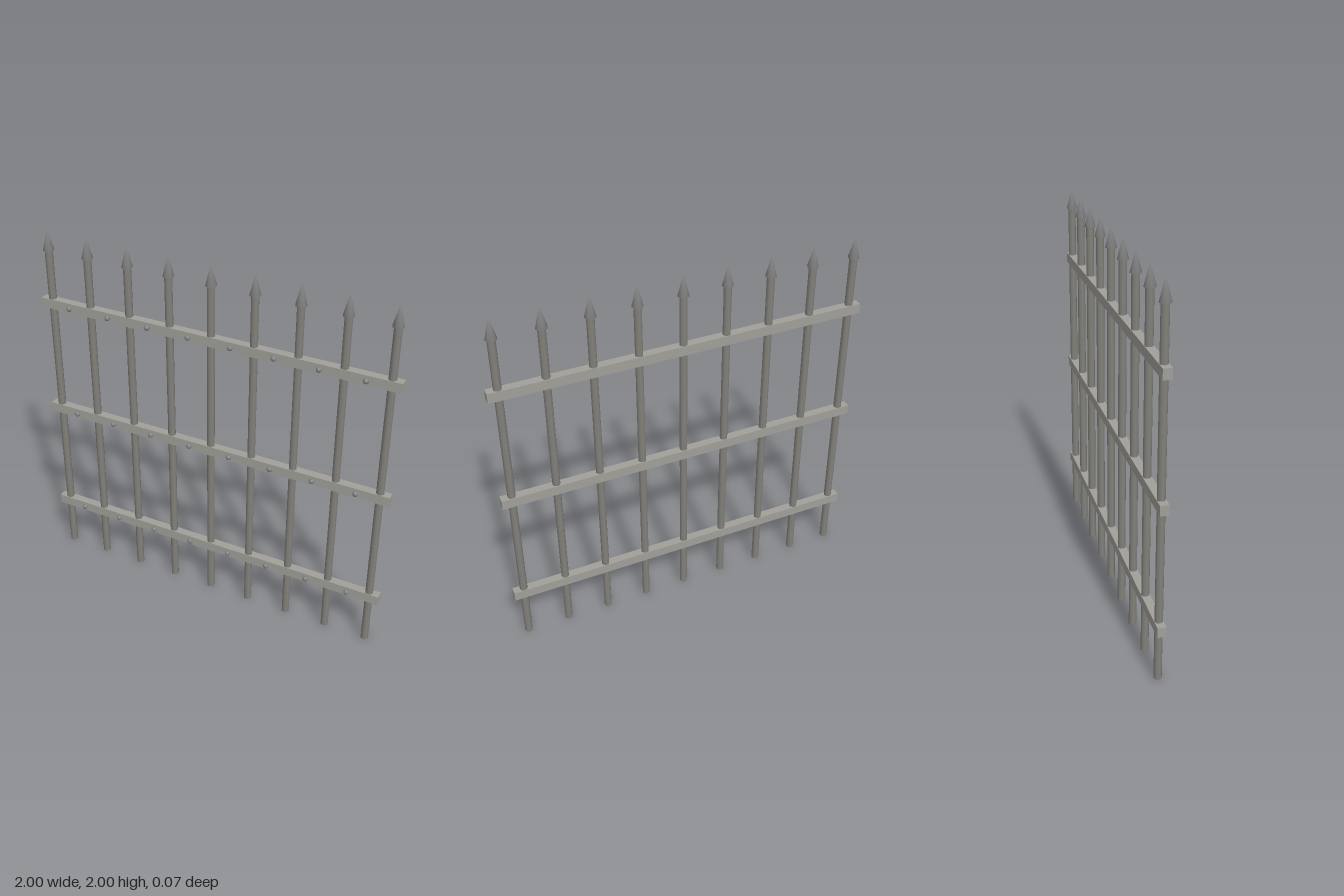
import * as THREE from 'three';
import { mergeVertices } from 'three/addons/utils/BufferGeometryUtils.js';

// Weld all corners so the shading rolls smoothly over tip and rim
function welded(geometry) {
  geometry.deleteAttribute('normal');
  geometry.deleteAttribute('uv');
  const result = mergeVertices(geometry, 1e-4);
  result.computeVertexNormals();
  return result;
}

export function createModel() {
  const group = new THREE.Group();
  const material = (name, color) => new THREE.MeshStandardMaterial({ name, color });
  const railIron = material('railIron', 0xa09f99);
  const barIron = material('barIron', 0x82817b);
  const darkIron = material('darkIron', 0x828282);

  const Z = -0.007; // plane of the bars
  const SPACING = 0.235;
  const BARS = 9;
  const BASE = 1.885; // where the spear heads begin

  const add = (name, geometry, mat, x, y, z) => {
    const mesh = new THREE.Mesh(geometry, mat);
    mesh.name = name;
    mesh.position.set(x, y, z);
    group.add(mesh);
  };

  const barGeo = new THREE.CylinderGeometry(0.021, 0.021, BASE, 8);
  const spearGeo = welded(new THREE.ConeGeometry(0.03, 2 - BASE, 8));
  const railGeo = new THREE.BoxGeometry(1.995, 0.053, 0.045);
  const rivetGeo = new THREE.SphereGeometry(0.015, 10, 8);

  // Upright bars with pointed heads
  for (let i = 0; i < BARS; i++) {
    const x = (i - (BARS - 1) / 2) * SPACING;
    add('bar', barGeo, barIron, x, BASE / 2, Z);
    add('spearHead', spearGeo, darkIron, x, (BASE + 2) / 2, Z);
  }

  // Cross rails, riveted on the front midway between bars
  for (const y of [0.296, 0.941, 1.588]) {
    add('rail', railGeo, railIron, 0, y, Z);
    for (let i = 0; i < BARS - 1; i++) {
      add('rivet', rivetGeo, darkIron, (i - (BARS - 2) / 2) * SPACING, y, Z + 0.028);
    }
  }

  return group;
}
